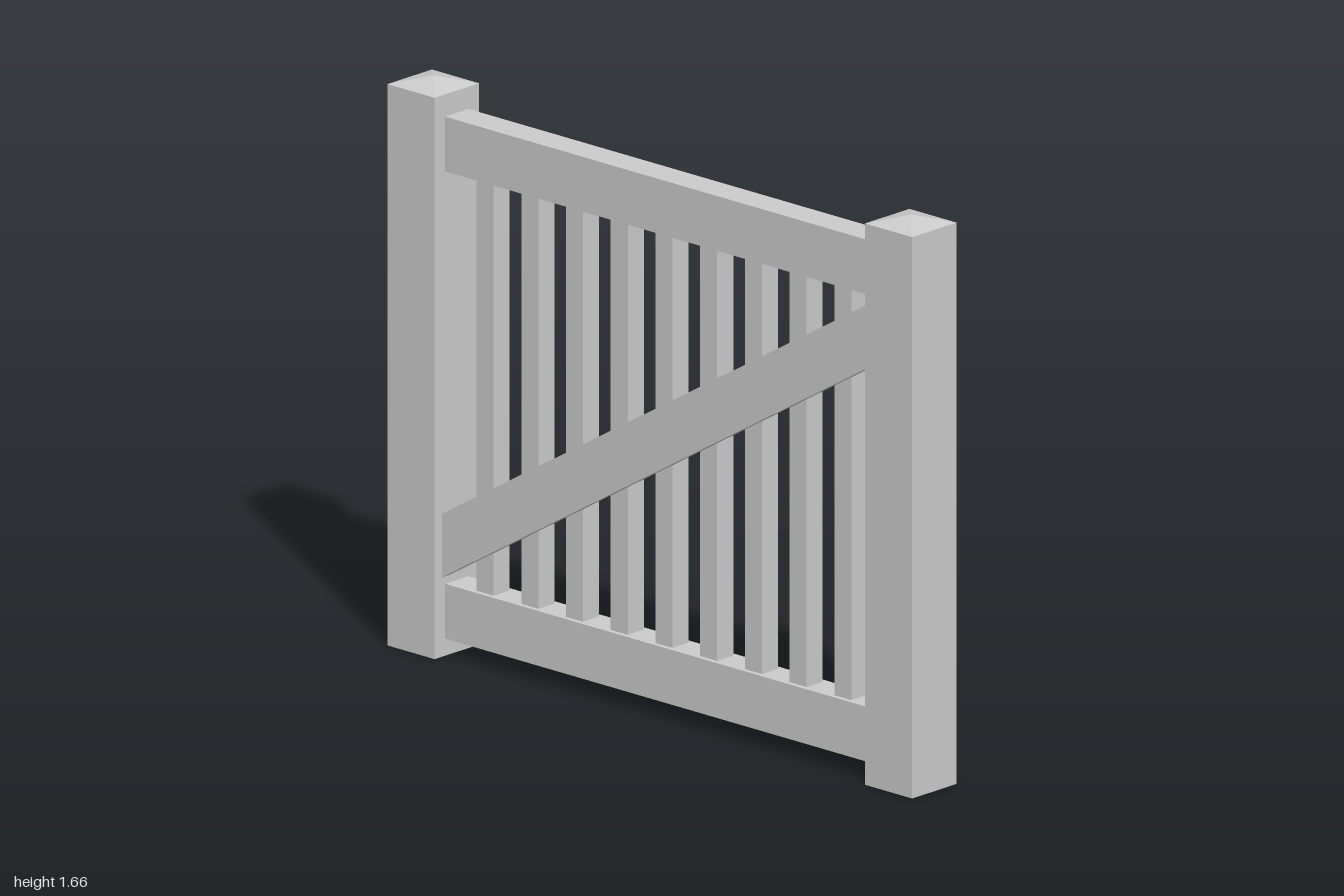
import * as THREE from 'three';

const material = new THREE.MeshStandardMaterial({ color: 0xcccccc, flatShading: true });

export function createModel() {
  const gate = new THREE.Group();
  gate.name = 'gate';

  function add(name, geometry, x, y, z = 0) {
    const mesh = new THREE.Mesh(geometry, material);
    mesh.name = name;
    mesh.position.set(x, y, z);
    gate.add(mesh);
    return mesh;
  }

  const postWidth = 0.18, postHeight = 1.64, capHeight = 0.025;
  const inner = 1 - postWidth; // inner face of each post
  const railHeight = 0.16, lowerRail = 0.13, upperRail = 1.495;

  // Square posts with shallow pyramid caps
  const capGeometry = new THREE.ConeGeometry(postWidth / Math.SQRT2, capHeight, 4, 1, true);
  capGeometry.rotateY(Math.PI / 4);
  for (const [side, label] of [[1, 'left'], [-1, 'right']]) {
    const x = side * (1 - postWidth / 2);
    add(label + 'Post', new THREE.BoxGeometry(postWidth, postHeight, postWidth), x, postHeight / 2);
    add(label + 'PostCap', capGeometry, x, postHeight + capHeight / 2);
  }

  // Horizontal rails between the posts
  const railGeometry = new THREE.BoxGeometry(inner * 2, railHeight, 0.095);
  add('lowerRail', railGeometry, 0, lowerRail);
  add('upperRail', railGeometry, 0, upperRail);

  // Nine evenly spaced square balusters
  const count = 9, spacing = 0.1705;
  const bottom = lowerRail + railHeight / 2, top = upperRail - railHeight / 2;
  const balusterGeometry = new THREE.BoxGeometry(0.065, top - bottom, 0.065);
  for (let i = 0; i < count; i++) {
    add('baluster' + (i + 1), balusterGeometry, (i - (count - 1) / 2) * spacing, (bottom + top) / 2);
  }

  // Diagonal brace on the front, its ends cut plumb against the posts
  const brace = new THREE.Shape([
    new THREE.Vector2(-inner, 0.232),
    new THREE.Vector2(inner, 1.217),
    new THREE.Vector2(inner, 1.403),
    new THREE.Vector2(-inner, 0.418),
  ]);
  add('diagonalBrace', new THREE.ExtrudeGeometry(brace, { depth: 0.028, bevelEnabled: false }), 0, 0, 0.0325);

  return gate;
}
